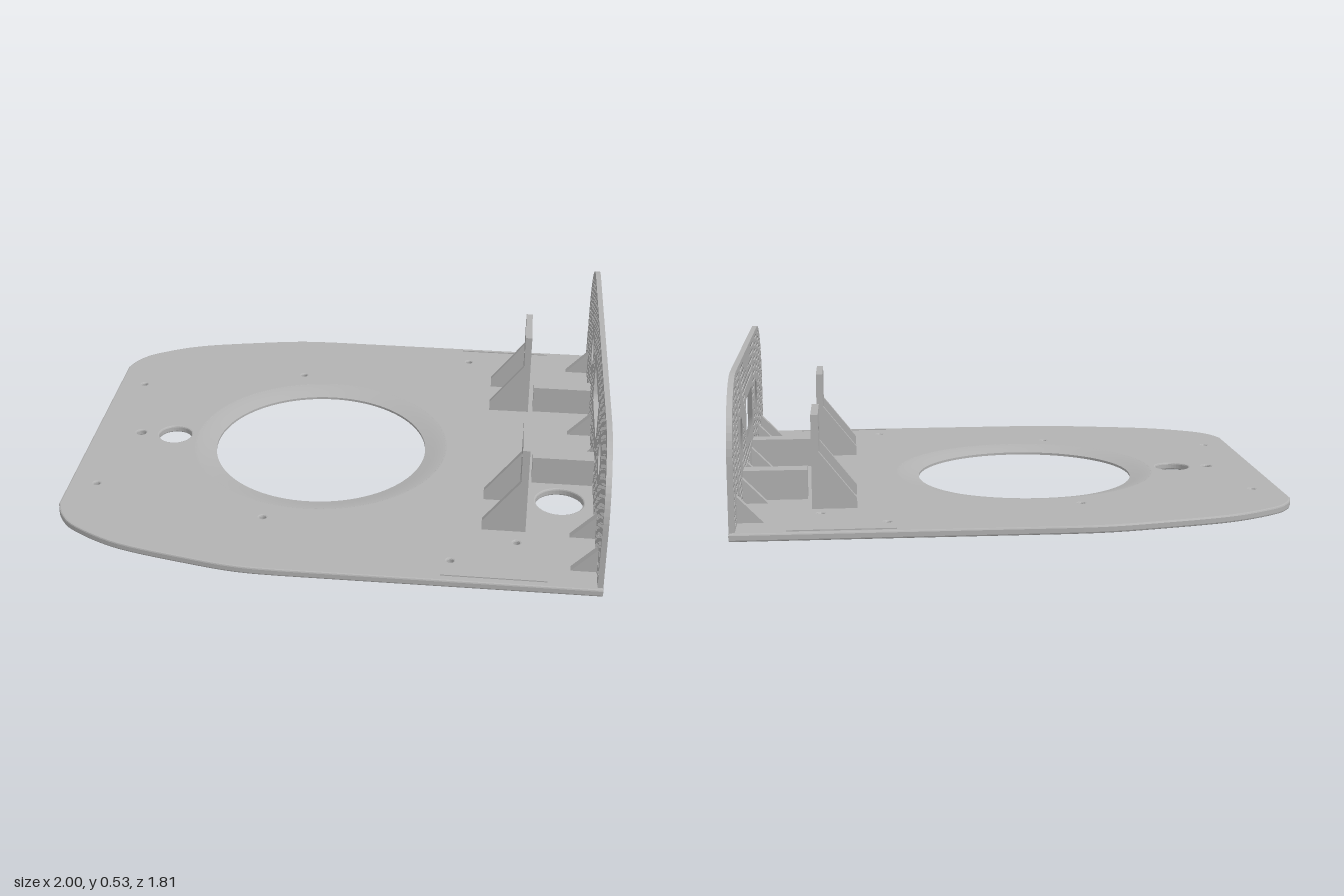
import * as THREE from 'three';

const grey = new THREE.MeshStandardMaterial({ color: 0xb2b2b2, side: THREE.DoubleSide });
grey.name = 'satin grey';

const T = 0.028; // base plate thickness
const WALL = 0.02; // upright panel thickness

const V = (x, y) => new THREE.Vector2(x, y);

function circle(cx, cy, r, n) {
  return Array.from({ length: n }, (_, i) => {
    const a = (i / n) * Math.PI * 2;
    return V(cx + r * Math.cos(a), cy + r * Math.sin(a));
  });
}

// Rounded rectangle outline with a fixed number of points
function roundRect(cx, cy, hw, hh, r, n = 6) {
  const pts = [];
  [[1, 1], [-1, 1], [-1, -1], [1, -1]].forEach(([sx, sy], k) => {
    for (let i = 0; i <= n; i++) {
      const a = (k + i / n) * Math.PI / 2;
      pts.push(V(cx + sx * (hw - r) + r * Math.cos(a), cy + sy * (hh - r) + r * Math.sin(a)));
    }
  });
  return pts;
}

function extrude(outline, holes, depth, options = {}) {
  const shape = new THREE.Shape(outline);
  shape.holes = holes.map((h) => new THREE.Path(h));
  return new THREE.ExtrudeGeometry(shape, { depth, bevelEnabled: false, ...options });
}

function add(group, name, geometry) {
  const mesh = new THREE.Mesh(geometry, grey);
  mesh.name = name;
  group.add(mesh);
  return mesh;
}

function box(group, name, x0, x1, y0, y1, z0, z1) {
  add(group, name, new THREE.BoxGeometry(x1 - x0, y1 - y0, z1 - z0))
    .position.set((x0 + x1) / 2, (y0 + y1) / 2, (z0 + z1) / 2);
}

// Sloped rim from a large front outline to a small back outline, closed behind
function chamferRing(big, small) {
  const pos = [];
  const loops = [[big, 1], [small, 1 - WALL], [big, 1 - WALL]];
  for (let k = 0; k < 2; k++) {
    const [pa, xa] = loops[k];
    const [pb, xb] = loops[k + 1];
    pa.forEach((a, i) => {
      const j = (i + 1) % pa.length;
      const q = [[xa, a.y, -a.x], [xa, pa[j].y, -pa[j].x], [xb, pb[j].y, -pb[j].x], [xb, pb[i].y, -pb[i].x]];
      pos.push(...q[0], ...q[1], ...q[2], ...q[0], ...q[2], ...q[3]);
    });
  }
  const g = new THREE.BufferGeometry();
  g.setAttribute('position', new THREE.Float32BufferAttribute(pos, 3));
  g.computeVertexNormals();
  return g;
}

function buildBase(group) {
  // Half outline: tapered end, then straight sides to the panel
  const curve = new THREE.SplineCurve([
    V(-1, 0.56), V(-0.97, 0.635), V(-0.9, 0.708), V(-0.72, 0.8), V(-0.43, 0.87), V(-0.27, 0.897), V(-0.13, 0.903),
  ]).getPoints(36);
  const half = [...curve, V(1, 0.9)];
  const outline = [...half, ...half.slice().reverse().map((p) => V(p.x, -p.y))];

  // Drilled holes as x, z, radius
  const holes = [
    [-0.895, -0.41, 0.012], [-0.895, 0.405, 0.012], [-0.815, 0, 0.019], [-0.675, 0, 0.065], [0.855, 0.34, 0.089],
  ];
  for (const s of [-1, 1]) holes.push([-0.23, s * 0.57, 0.012], [0.47, s * 0.775, 0.012], [0.7, s * 0.635, 0.012]);
  const paths = holes.map(([x, z, r]) => circle(x, -z, r, r > 0.05 ? 40 : 16));
  paths.push(circle(-0.085, 0, 0.49, 96));

  const b = 0.006;
  const plate = extrude(outline, paths, T - 2 * b, {
    bevelEnabled: true, bevelThickness: b, bevelSize: b, bevelOffset: -b, bevelSegments: 2,
  });
  plate.rotateX(-Math.PI / 2).translate(0, b, 0);
  add(group, 'basePlate', plate);

  // Shallow dish sinking into the large round opening
  const ring = new THREE.Group();
  ring.name = 'openingDish';
  ring.position.x = -0.085;
  group.add(ring);
  const profiles = {
    dishSlope: [[0.5, T + 0.0003], [0.48, 0.026], [0.45, 0.019], [0.415, 0.009]],
    dishEdge: [[0.415, 0.009], [0.415, 0]],
    dishUnderside: [[0.415, 0], [0.5, 0]],
  };
  for (const [name, pts] of Object.entries(profiles)) {
    add(ring, name, new THREE.LatheGeometry(pts.map((p) => V(...p)), 96));
  }

  // Fine side ridges
  for (const z of [-0.877, 0.87]) box(group, 'sideRidge', 0.44, 0.81, T - 0.004, T + 0.004, z - 0.003, z + 0.003);
}

function buildPanel(group) {
  const H = 0.53, W = 0.885, R = 0.27;
  const outline = [V(-W, 0.005), V(W, 0.005)];
  for (const s of [1, -1]) {
    for (let i = 0; i <= 16; i++) {
      const a = ((s > 0 ? i : 16 - i) / 16) * Math.PI / 2;
      outline.push(V(s * (W - R + R * Math.cos(a)), H - R + R * Math.sin(a)));
    }
  }

  // Chamfered window and two round ports
  const win = [roundRect(-0.007, 0.277, 0.198, 0.097, 0.04), roundRect(-0.007, 0.277, 0.172, 0.074, 0.03)];
  const ports = [-0.437, 0.437].map((x) => [circle(x, 0.277, 0.086, 40), circle(x, 0.277, 0.058, 40)]);
  const holes = [win[0], ...ports.map((p) => p[0])];

  // Staggered perforation
  const dx = 0.0292, dy = 0.0252, m = 0.022;
  for (let r = 0; r < 19; r++) {
    const y = 0.05 + r * dy;
    for (let c = -30; c <= 30; c++) {
      const x = (c + (r % 2) / 2) * dx;
      const ax = Math.abs(x);
      if (ax > W - m) continue;
      if (ax > W - R && y > H - R && Math.hypot(ax - W + R, y - H + R) > R - m) continue;
      if (Math.abs(x + 0.007) < 0.215 && Math.abs(y - 0.277) < 0.112) continue;
      if (Math.hypot(ax - 0.437, y - 0.277) < 0.1) continue;
      holes.push(circle(x, y, 0.0092, 6));
    }
  }
  const panel = extrude(outline, holes, WALL);
  panel.rotateY(Math.PI / 2).translate(1 - WALL, 0, 0);
  add(group, 'perforatedPanel', panel);
  add(group, 'windowChamfer', chamferRing(...win));
  for (const p of ports) add(group, 'portChamfer', chamferRing(...p));
}

function buildSupports(group) {
  // Triangular ribs behind the panel
  const rib = extrude([V(0.89, T), V(0.982, T), V(0.982, 0.122)], [], 0.028);
  for (const z of [-0.74, -0.46, -0.187, 0.088, 0.567, 0.778]) {
    add(group, 'panelRib', rib).position.z = z - 0.014;
  }
  // Solid blocks
  for (const z of [-0.388, 0.18]) box(group, 'supportBlock', 0.75, 0.982, T - 0.005, 0.137, z - 0.035, z + 0.035);

  // Drilled brackets with a pair of gussets
  const gusset = extrude([V(0.572, T - 0.003), V(0.707, T - 0.003), V(0.707, 0.236), V(0.572, 0.065)], [], 0.02);
  for (const [z, holeZ] of [[-0.46, -0.437], [0.45, 0.437]]) {
    const bracket = new THREE.Group();
    bracket.name = 'bracket';
    group.add(bracket);
    const w = 0.114;
    const plate = extrude(
      [V(-z - w, T - 0.003), V(-z + w, T - 0.003), V(-z + w, 0.365), V(-z - w, 0.365)],
      [circle(-holeZ, 0.277, 0.022, 24)], 0.026);
    plate.rotateY(Math.PI / 2).translate(0.705, 0, 0);
    add(bracket, 'bracketPlate', plate);
    for (const z0 of [z - w, z + w - 0.02]) add(bracket, 'bracketGusset', gusset).position.z = z0;
  }
}

export function createModel() {
  const model = new THREE.Group();
  model.name = 'mountingTray';
  buildBase(model);
  buildPanel(model);
  buildSupports(model);
  return model;
}
